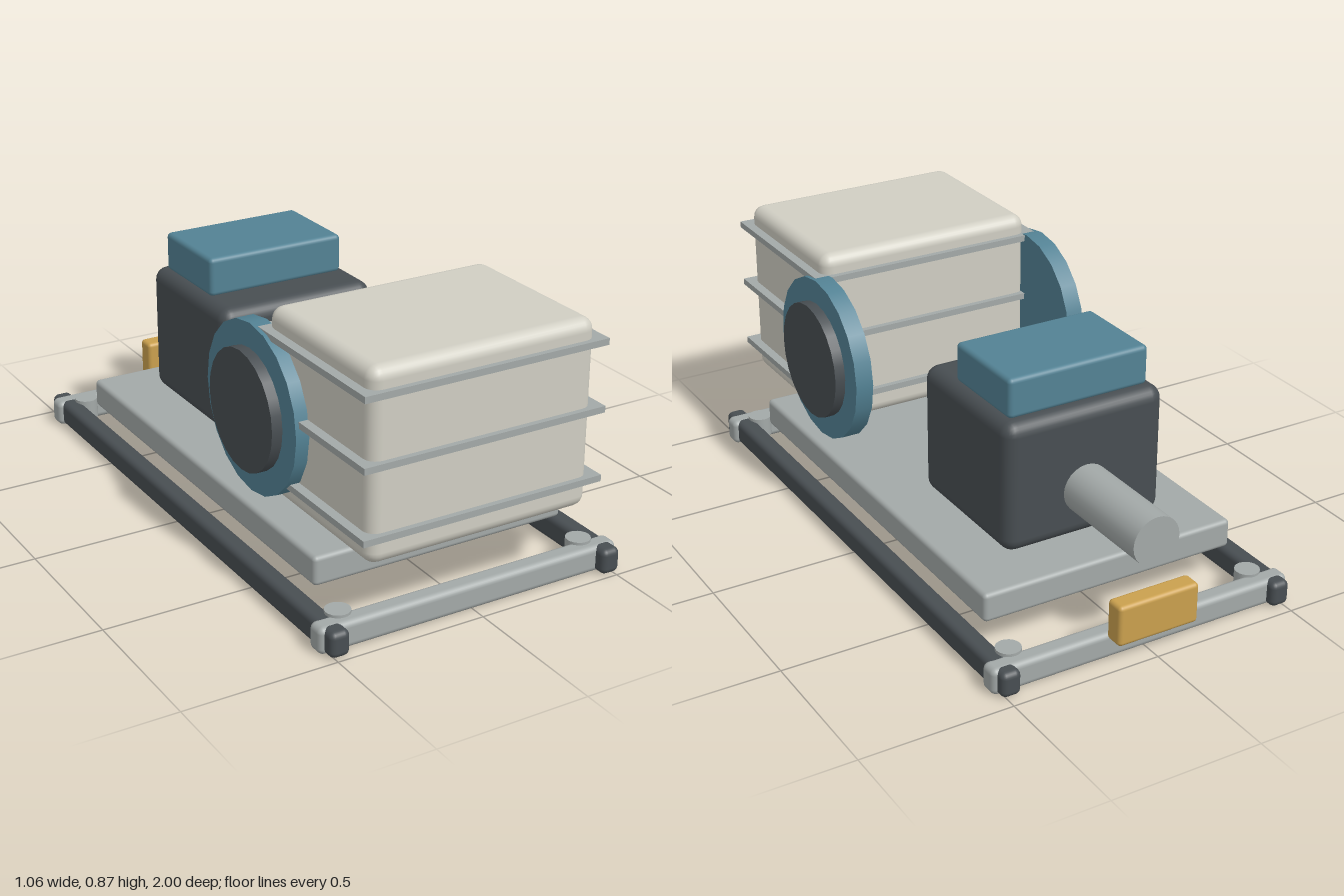
import * as THREE from 'three';
import { RoundedBoxGeometry } from 'three/addons/geometries/RoundedBoxGeometry.js';

function material(name, color) {
  const m = new THREE.MeshStandardMaterial({ color });
  m.name = name;
  return m;
}

export function createModel() {
  const model = new THREE.Group();
  model.name = 'skidMountedMachine';
  const grey = material('steelGrey', 0xa3a9a8);
  const dark = material('charcoal', 0x484e52);
  const blue = material('tealBlue', 0x538294);
  const cream = material('cream', 0xd0cec3);
  const yellow = material('ochre', 0xcaa04e);

  function add(name, geometry, mat, x, y, z) {
    const mesh = new THREE.Mesh(geometry, mat);
    mesh.name = name;
    mesh.position.set(x, y, z);
    model.add(mesh);
    return mesh;
  }

  // Rounded box given by its [min, max] along each axis
  function block(name, mat, [x0, x1], [y0, y1], [z0, z1], radius) {
    const geometry = new RoundedBoxGeometry(x1 - x0, y1 - y0, z1 - z0, 3, radius);
    return add(name, geometry, mat, (x0 + x1) / 2, (y0 + y1) / 2, (z0 + z1) / 2);
  }

  // Base frame: side rails, cross bars and mounting feet
  for (const s of [-1, 1]) {
    const rail = block('sideRail', dark, [-0.033, 0.033], [0.003, 0.087], [-0.967, 0.993], 0.02);
    rail.position.x = s * 0.484;
    for (const [barZ, footZ] of [[0.92, 0.885], [-0.902, -0.855]]) {
      if (s > 0) block('crossBar', grey, [-0.532, 0.532], [0, 0.088], [barZ - 0.034, barZ + 0.034], 0.02);
      add('mountFoot', new THREE.CylinderGeometry(0.04, 0.04, 0.07, 20), grey, s * 0.433, 0.062, footZ);
    }
  }

  // Deck plate floating above the frame
  block('deckPlate', grey, [-0.446, 0.446], [0.115, 0.212], [-0.741, 0.775], 0.015);

  // Motor with its control box, outlet pipe and rear tag block
  block('motorHousing', dark, [-0.283, 0.283], [0.217, 0.655], [-0.593, -0.072], 0.045);
  block('controlBox', blue, [-0.247, 0.247], [0.65, 0.782], [-0.545, -0.225], 0.016);
  const pipe = add('outletPipe', new THREE.CylinderGeometry(0.081, 0.081, 0.4, 24), grey, 0, 0.38, -0.768);
  pipe.rotation.x = Math.PI / 2;
  block('rearBlock', yellow, [-0.142, 0.142], [0.075, 0.212], [-1, -0.932], 0.014);

  // Front casing with three surrounding bands
  block('frontCasing', cream, [-0.386, 0.386], [0.255, 0.865], [0.4, 0.977], 0.04);
  for (const y of [0.35, 0.575, 0.79]) {
    add('casingBand', new THREE.BoxGeometry(0.834, 0.021, 0.614), grey, 0, y, 0.688);
  }

  // Side discs: a wide ring plate with a darker hub cap
  for (const s of [-1, 1]) {
    const disc = add('sideDisc', new THREE.CylinderGeometry(0.275, 0.275, 0.06, 20), blue, s * 0.4, 0.53, 0.37);
    const hub = add('hubCap', new THREE.CylinderGeometry(0.195, 0.195, 0.06, 24), dark, s * 0.435, 0.53, 0.37);
    disc.rotation.z = hub.rotation.z = Math.PI / 2;
  }
  return model;
}
